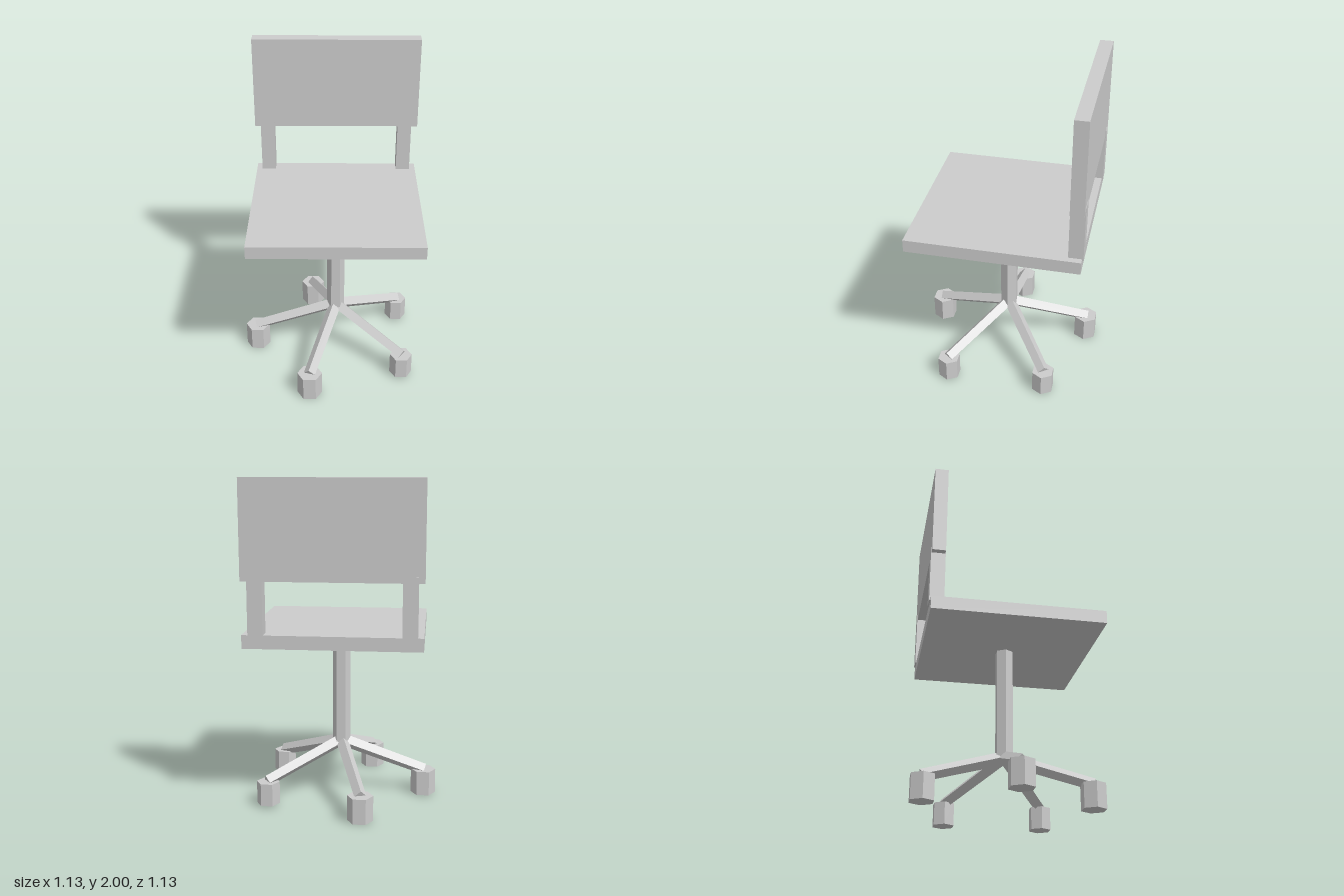
import * as THREE from 'three';

export function createModel() {
  const model = new THREE.Group();
  model.name = 'officeChair';
  const grey = new THREE.MeshStandardMaterial({ color: 0xcccccc });
  grey.name = 'plain grey';
  const cx = 0.036; // axis of the column and seat

  function add(geometry, name, x, y, z, parent = model) {
    // split vertices so that every side stays flat
    const flat = geometry.index ? geometry.toNonIndexed() : geometry;
    flat.computeVertexNormals();
    const mesh = new THREE.Mesh(flat, grey);
    mesh.name = name;
    mesh.position.set(x, y, z);
    parent.add(mesh);
    return mesh;
  }

  // box given by its limits on each axis
  function slab(name, x0, x1, y0, y1, z0, z1) {
    add(new THREE.BoxGeometry(x1 - x0, y1 - y0, z1 - z0), name,
      (x0 + x1) / 2, (y0 + y1) / 2, (z0 + z1) / 2);
  }

  // upright hexagonal prism with corners on the x axis
  function hexPrism(name, radius, y0, y1, x, z) {
    const g = new THREE.CylinderGeometry(radius, radius, y1 - y0, 6);
    g.rotateY(Math.PI / 6);
    add(g, name, x, (y0 + y1) / 2, z);
  }

  // seat, backrest and its two uprights
  slab('seat', -0.487, 0.559, 1.03, 1.11, -0.522, 0.522);
  slab('backrest', -0.488, 0.56, 1.42, 2, -0.527, -0.445);
  slab('rightUpright', -0.452, -0.364, 1.1, 1.455, -0.53, -0.442);
  slab('leftUpright', 0.433, 0.521, 1.1, 1.455, -0.53, -0.442);

  // column
  hexPrism('column', 0.057, 0.31, 1.04, cx, 0);

  // five legs with a ridge on top, each ending in a hexagonal foot
  const reach = 0.53, hubY = 0.335, endY = 0.152;
  const length = Math.hypot(reach, hubY - endY);
  const slope = Math.atan2(hubY - endY, reach);
  for (let i = 0; i < 5; i++) {
    const angle = Math.PI + (i * Math.PI * 2) / 5;
    const leg = new THREE.CylinderGeometry(0.037, 0.041, length, 4);
    leg.translate(0, length / 2, 0);
    leg.rotateZ(-Math.PI / 2 - slope);
    add(leg, 'leg', cx, hubY, 0).rotation.y = -angle;

    const x = cx + 0.524 * Math.cos(angle), z = 0.524 * Math.sin(angle);
    const small = x > 0.2;
    hexPrism('foot', small ? 0.071 : 0.078, small ? 0.01 : 0, small ? 0.15 : 0.155, x, z);
  }

  return model;
}
